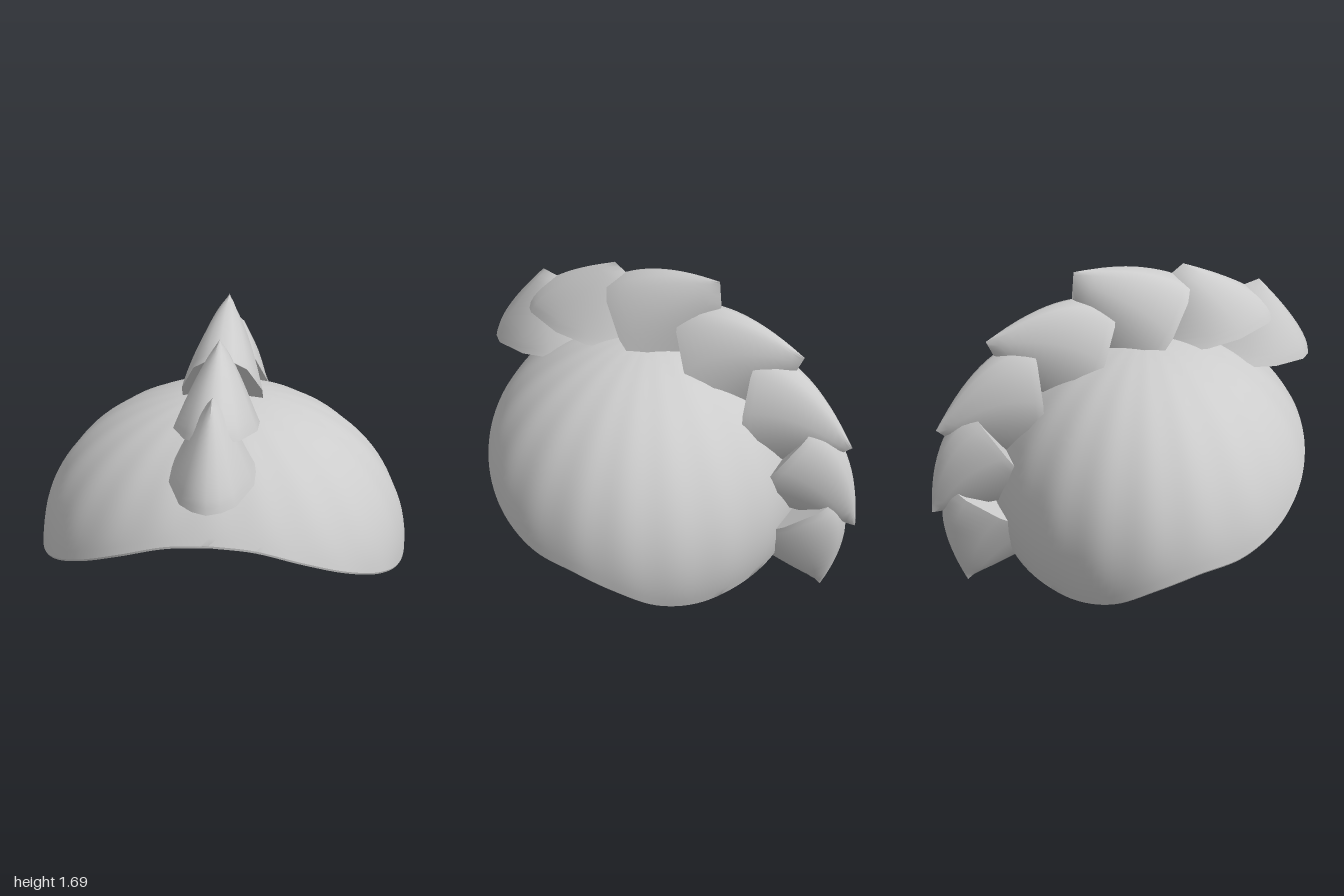
import * as THREE from 'three';
import { toCreasedNormals } from 'three/addons/utils/BufferGeometryUtils.js';

const grey = new THREE.MeshStandardMaterial({ color: 0xcccccc });
grey.name = 'lightGrey';

// Skins a list of closed rings; every ring has the same number of Vector3 points
function loft(rings, capStart, crease) {
  const n = rings[0].length, pos = [], idx = [];
  rings.forEach(r => r.forEach(p => pos.push(p.x, p.y, p.z)));
  for (let k = 0; k < rings.length - 1; k++) {
    for (let j = 0; j < n; j++) {
      const a = k * n + j, b = k * n + (j + 1) % n;
      idx.push(a, b, b + n, a, b + n, a + n);
    }
  }
  if (capStart) {
    const c = rings[0].reduce((s, p) => s.add(p), new THREE.Vector3()).divideScalar(n);
    pos.push(c.x, c.y, c.z);
    for (let j = 0; j < n; j++) idx.push(rings.length * n, (j + 1) % n, j);
  }
  const g = new THREE.BufferGeometry();
  g.setAttribute('position', new THREE.Float32BufferAttribute(pos, 3));
  g.setIndex(idx);
  return toCreasedNormals(g, crease);
}

// Thin fluted dome: an ellipsoid cut by a rim that rises at the front
function domeGeometry() {
  const heights = [0.885, 0.86, 0.78, 0.68, 0.585, 0.515, 0.485, 0.4, 0.275, 0.21, 0.2, 0.2, 0.2];
  const rim = new THREE.SplineCurve(heights.map((y, i) => new THREE.Vector2(i, y)));
  const SEG = 144, STEPS = 26;

  const point = (th, phi, s, flute) => {
    const r = Math.sin(phi) * s * (1 + flute * Math.cos(20 * th));
    const depth = Math.cos(th) > 0 ? 0.87 : 0.79;
    return new THREE.Vector3(0.92 * Math.sin(th) * r,
      0.5 + 0.82 * s * Math.cos(phi), 0.12 + depth * Math.cos(th) * r);
  };
  const flute = t => 0.005 * (1 - t ** 6);
  // Profile rows as [fraction of rim angle, angle offset, scale, flute depth]
  const rows = [];
  for (let i = 0; i <= STEPS; i++) {
    const t = Math.max(i / STEPS, 0.002);
    rows.push([t, 0, 1, flute(t)]);
  }
  // Rolled rim and the hem folded up inside it
  rows.push([1, 0.012, 0.994, 0], [1, 0.006, 0.982, 0]);
  for (let i = 0; i <= 4; i++) rows.push([1, -0.17 * i / 4, 0.98, 0]);
  // Inner face of the shell
  for (let i = STEPS; i >= 0; i--) {
    const t = Math.max(i / STEPS, 0.002);
    rows.push([t, -0.172 * t, 0.991, flute(t)]);
  }
  // Rings are listed from inside to outside so that faces point outward
  rows.reverse();
  const rings = rows.map(([t, off, s, f]) => {
    const ring = [];
    for (let j = 0; j < SEG; j++) {
      const th = j / SEG * Math.PI * 2;
      const y = rim.getPoint(Math.min(th, Math.PI * 2 - th) / Math.PI).y;
      const phi = Math.acos((y - 0.5) / 0.82);
      ring.push(point(th, phi * t + off, s, f));
    }
    return ring;
  });
  return loft(rings, false, 0.5);
}

// Crest scale: an elongated base polygon tapering along a curved ridge to a tip.
// front = ridge start, side = another point on the base line, tip = end; all [z, y]
function scaleGeometry({ front, side, tip, blunt, hollow, bend }) {
  const LENGTH = 0.71, HALF = 0.195;
  const F = new THREE.Vector3(0, front[1], front[0]);
  const d = new THREE.Vector3(0, side[1], side[0]).sub(F).normalize();
  const n = new THREE.Vector3(1, 0, 0).cross(d);
  const rel = new THREE.Vector3(0, tip[1], tip[0]).sub(F);
  const along = rel.dot(d), rise = rel.dot(n);
  const half = [[0, 0], [0.035, 0.34], [0.11, 0.65], [0.36, 1], [0.6, 1], [0.9, 0.5], [1, 0]];
  const outline = [...half, ...half.slice(1, -1).reverse().map(([u, w]) => [u, -w])];
  const rings = [];
  for (let k = 0; k <= 14; k++) {
    const t = k / 14;
    const outer = along * t ** bend;
    const inner = LENGTH + (along + blunt - LENGTH) * t ** hollow;
    const w = HALF * Math.max(1 - t, 0.0005) ** 0.77;
    rings.push(outline.map(([u, x]) => F.clone()
      .addScaledVector(d, outer + (inner - outer) * u)
      .addScaledVector(n, rise * t * (1 - 0.12 * t * u))
      .setX(x * w)));
  }
  return loft(rings, true, 0.85);
}

export function createModel() {
  const model = new THREE.Group();
  model.name = 'crestedHelmet';

  const dome = new THREE.Mesh(domeGeometry(), grey);
  dome.name = 'dome';
  model.add(dome);

  // Row of overlapping scales from forehead to nape
  const crest = new THREE.Group();
  crest.name = 'crest';
  const scales = [
    { front: [1.0, 1.105], side: [0.75, 1.13], tip: [0.71, 1.53], blunt: 0.12, hollow: 0.75, bend: 1.35 },
    { front: [0.8, 1.355], side: [0.28, 1.26], tip: [0.31, 1.66], blunt: 0.09, hollow: 0.75, bend: 1.5 },
    { front: [0.34, 1.57], side: [0.17, 1.31], tip: [-0.24, 1.68], blunt: 0.12, hollow: 0.75, bend: 1.9 },
    { front: [-0.04, 1.5], side: [-0.16, 1.22], tip: [-0.68, 1.37], blunt: 0.06, hollow: 0.75, bend: 2.1 },
    { front: [-0.46, 1.35], side: [-0.45, 1.08], tip: [-0.95, 0.92], blunt: 0.06, hollow: 0.75, bend: 2 },
    { front: [-0.78, 1.03], side: [-0.61, 0.78], tip: [-1.0, 0.45], blunt: 0.04, hollow: 0.75, bend: 2 },
    { front: [-0.91, 0.61], side: [-0.64, 0.45], tip: [-0.84, 0.0], blunt: 0.02, hollow: 1, bend: 1.8 },
  ];
  scales.forEach((s, i) => {
    const mesh = new THREE.Mesh(scaleGeometry(s), grey);
    mesh.name = `crestScale${i + 1}`;
    crest.add(mesh);
  });
  model.add(crest);
  return model;
}
